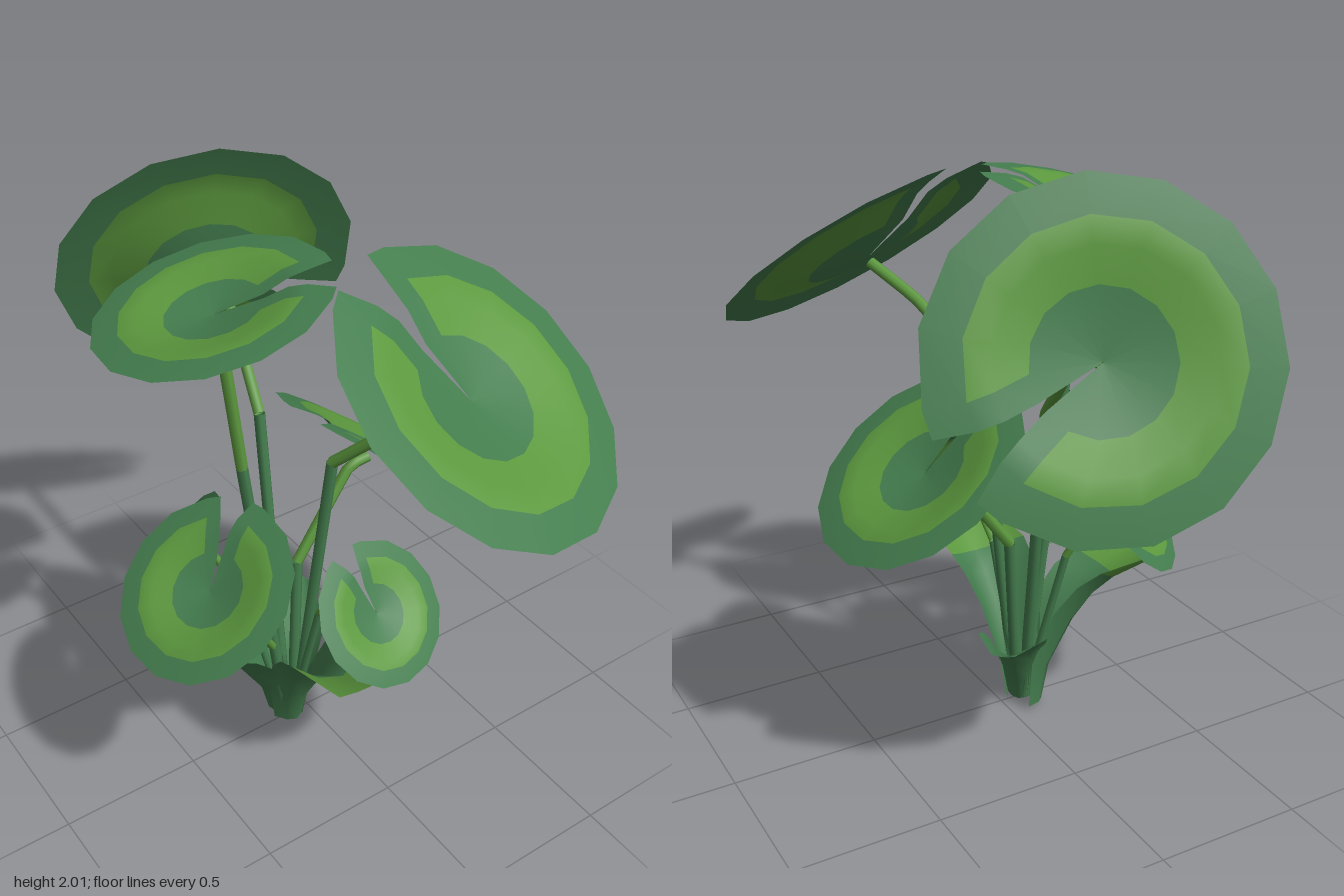
import * as THREE from 'three';

const V = (a) => new THREE.Vector3(...a);
const UP = new THREE.Vector3(0, 1, 0);
const mat = (name, color) => {
  const m = new THREE.MeshStandardMaterial({ color, side: THREE.DoubleSide });
  m.name = name;
  return m;
};

// Grid of points (rows x columns) to an indexed geometry; tone(i, j) picks the material of each quad
function gridGeometry(rows, tone) {
  const cols = rows[0].length;
  const faces = [[], []];
  for (let i = 0; i < rows.length - 1; i++)
    for (let j = 0; j < cols - 1; j++) {
      const a = i * cols + j, b = a + 1, c = a + cols, d = c + 1;
      faces[tone(i, j)].push(a, b, d, a, d, c);
    }
  const geo = new THREE.BufferGeometry();
  geo.setAttribute('position', new THREE.Float32BufferAttribute(rows.flat(2), 3));
  geo.setIndex([...faces[0], ...faces[1]]);
  geo.addGroup(0, faces[0].length, 0);
  geo.addGroup(faces[0].length, faces[1].length, 1);
  geo.computeVertexNormals();
  return geo;
}

// Round notched pad of radius 1 with a dipped middle, the notch on +x and the top on +y
function padGeometry() {
  // radius, height, half angle of the notch
  const rings = [[0.003, -0.1, 0.1], [0.41, -0.05, 0.07], [0.62, 0.015, 0.1], [0.77, 0.02, 0.13], [1, -0.005, 0.2]];
  const steps = 13;
  const rows = rings.map(([r, h, gap]) => {
    const start = gap + Math.min(0.4, 0.16 / r);
    const angles = [gap];
    for (let j = 0; j <= steps; j++) angles.push(start + (j / steps) * 2 * (Math.PI - start));
    angles.push(2 * Math.PI - gap);
    return angles.map((t) => [r * Math.cos(t), h, r * Math.sin(t)]);
  });
  // Light C-shaped band inside a darker border
  return gridGeometry(rows, (i, j) => ((i === 1 || i === 2) && j > 0 && j < steps + 1 ? 1 : 0));
}

// Trough-shaped leaf growing from the crown along +z
function baseLeafGeometry(tipWidth) {
  // reach, height, half width, inward and upward shift of the edges
  const sections = [
    [0.05, 0, 0.06, 0.06, 0], [0.08, 0.13, 0.085, 0.08, 0.04], [0.17, 0.29, 0.12, 0.1, 0.07],
    [0.25, 0.385, 0.14, 0.1, 0.07], [0.32, 0.44, 0.15, 0.09, 0.06], [0.5, 0.55, tipWidth, 0.03, -0.01],
  ];
  const rows = sections.map(([r, y, w, back, up]) =>
    [1, 0.55, 0, -0.55, -1].map((u) => [u * w, y + up * u * u, r - back * u * u]));
  return gridGeometry(rows, (i) => (i >= 4 ? 1 : 0));
}

function tube(points, radius, material, name) {
  const curve = new THREE.CatmullRomCurve3(points, false, 'catmullrom', 0.15);
  const geo = new THREE.TubeGeometry(curve, (points.length - 1) * 5, radius, 7, false);
  const mesh = new THREE.Mesh(geo, material);
  mesh.name = name;
  return mesh;
}

export function createModel() {
  const group = new THREE.Group();
  const deepGreen = mat('deep green', 0x447d4e);
  const leafGreen = mat('leaf green', 0x5c983e);
  const tones = [deepGreen, leafGreen];
  const padGeo = padGeometry();

  // A pad facing along normal, on a stem that runs crown, knee, elbow, pad.
  // The notch points uphill, turned about the normal by turn.
  function addPad(name, radius, centre, normal, knee, elbow, turn = 0) {
    const c = V(centre);
    const up = V(normal).normalize();
    const notch = UP.clone().projectOnPlane(up).normalize().applyAxisAngle(up, turn);
    const side = new THREE.Vector3().crossVectors(notch, up);
    const pad = new THREE.Mesh(padGeo, tones);
    pad.name = name;
    pad.quaternion.setFromRotationMatrix(new THREE.Matrix4().makeBasis(notch, up, side));
    pad.position.copy(c);
    pad.scale.setScalar(radius);
    group.add(pad);

    const foot = new THREE.Vector3(-0.08 + 0.05 * c.x, 0.02, 0.04 * c.z);
    const end = c.clone().addScaledVector(up, -0.1 * radius - 0.018);
    const thickness = radius > 0.35 ? 0.02 : 0.014;
    group.add(tube([foot, V(knee)], thickness, deepGreen, name + 'LowerStem'));
    group.add(tube([V(knee), V(elbow), end], thickness, leafGreen, name + 'UpperStem'));
  }

  // Three tall pads
  addPad('frontLargePad', 0.522, [0.25, 1.585, 0.535], [0.26, 0.795, 0.546], [0, 1.2, 0.14], [0.13, 1.42, 0.35], 0.1);
  addPad('backLargePad', 0.526, [0.075, 1.51, -0.725], [0.32, 0.345, -0.883], [-0.02, 1.18, -0.25], [0.04, 1.46, -0.52], 2.13);
  addPad('topPad', 0.372, [-0.315, 1.8, -0.03], [-0.22, 0.97, -0.09], [-0.25, 1.2, 0], [-0.28, 1.5, -0.01], -0.15);

  // Four low pads
  addPad('leftPad', 0.385, [0.345, 1.015, -0.08], [0.61, 0.79, -0.09], [0, 0.65, -0.06], [0.23, 0.95, -0.08], -0.1);
  addPad('rightPad', 0.308, [-0.505, 0.945, 0.17], [-0.59, 0.8, 0.12], [-0.2, 0.46, 0.08], [-0.36, 0.74, 0.14], 0.3);
  addPad('frontSmallPad', 0.242, [0, 0.765, 0.42], [0.12, 0.64, 0.76], [-0.04, 0.57, 0.13], [-0.02, 0.74, 0.28], 0.12);
  addPad('backSmallPad', 0.242, [-0.38, 0.765, -0.235], [-0.58, 0.62, -0.53], [-0.2, 0.57, -0.1], [-0.28, 0.75, -0.17]);

  // Leaves around the crown
  function addBaseLeaf(name, z, turn, roll, scale, tipWidth, materials) {
    const leaf = new THREE.Mesh(baseLeafGeometry(tipWidth), materials);
    leaf.name = name;
    leaf.position.set(-0.08, 0, z);
    leaf.rotation.set(0, turn, roll);
    leaf.scale.set(...scale);
    group.add(leaf);
  }
  addBaseLeaf('frontBaseLeaf', 0, 0.02, 0, [1, 1, 1], 0.13, tones);
  addBaseLeaf('rightBaseLeaf', -0.05, -Math.PI / 2 - 0.25, -0.13, [0.95, 1, 1.04], 0.12, tones);
  addBaseLeaf('backBaseLeaf', 0, Math.PI - 0.7, 0, [0.8, 0.66, 0.72], 0.05, [deepGreen, deepGreen]);
  return group;
}
